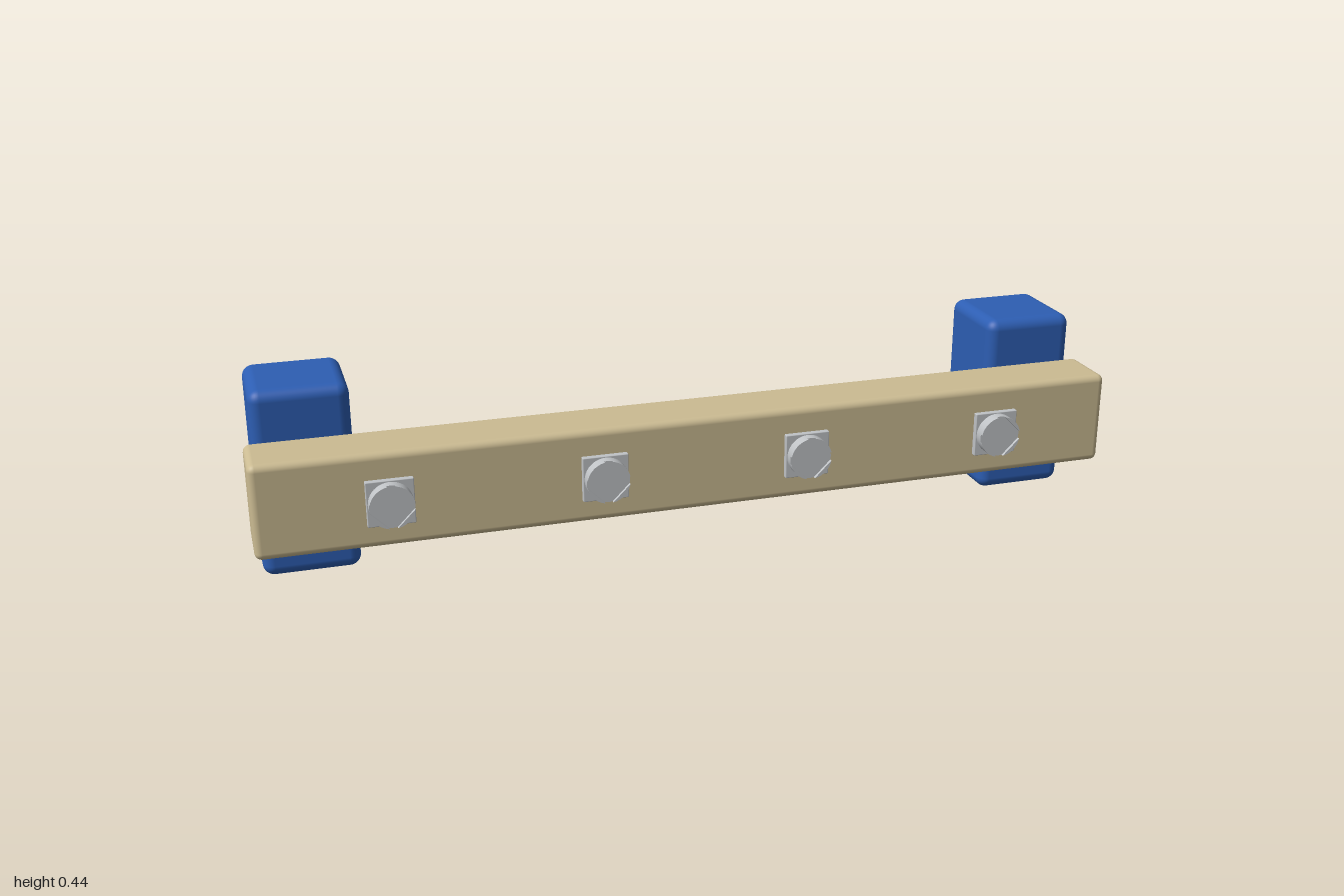
import * as THREE from 'three';
import { RoundedBoxGeometry } from 'three/addons/geometries/RoundedBoxGeometry.js';

const material = (name, color) => Object.assign(new THREE.MeshStandardMaterial({ color }), { name });

export function createModel() {
  const model = new THREE.Group();
  model.name = 'rail';
  const blue = material('blue', 0x2d5eb3);
  const tan = material('tan', 0xcbbb92);
  const steel = material('steel', 0xc0c3c6);

  const add = (parent, name, geometry, mat, x = 0, y = 0, z = 0) => {
    const mesh = new THREE.Mesh(geometry, mat);
    mesh.name = name;
    mesh.position.set(x, y, z);
    parent.add(mesh);
    return mesh;
  };

  // Long bar across the front, with a block behind each end
  const midY = 0.2185;
  add(model, 'bar', new RoundedBoxGeometry(2, 0.218, 0.146, 4, 0.016), tan, 0, midY, 0.087);
  const block = new RoundedBoxGeometry(0.217, 0.437, 0.218, 4, 0.026);
  for (const side of [1, -1]) {
    add(model, side > 0 ? 'leftBlock' : 'rightBlock', block, blue, side * 0.872, midY, -0.096);
  }

  // Screw parts, all facing +z
  const radius = 0.049, slot = 0.009;
  const disc = (r, depth) => new THREE.CylinderGeometry(r, r, depth, 40).rotateX(Math.PI / 2);
  const shank = disc(0.025, 0.02);
  const head = disc(radius, 0.021);
  const washer = new RoundedBoxGeometry(0.104, 0.104, 0.014, 2, 0.002);

  // One quarter of the head's top, leaving half a slot on its two straight sides
  const a = Math.asin(slot / radius);
  const quarter = new THREE.Shape();
  quarter.moveTo(slot, slot);
  quarter.absarc(0, 0, radius, a, Math.PI / 2 - a, false);
  quarter.closePath();
  const quarterTop = new THREE.ExtrudeGeometry(quarter, { depth: 0.007, bevelEnabled: false, curveSegments: 12 });

  for (const x of [-0.71, -0.237, 0.237, 0.71]) {
    const screw = new THREE.Group();
    screw.name = 'screw';
    screw.position.set(x, midY, 0);
    add(screw, 'shank', shank, steel, 0, 0, 0.16);
    add(screw, 'squareWasher', washer, steel, 0, 0, 0.171);
    add(screw, 'screwHead', head, steel, 0, 0, 0.1875);
    for (let i = 0; i < 4; i++) {
      add(screw, 'headQuarter', quarterTop, steel, 0, 0, 0.198).rotation.z = i * Math.PI / 2;
    }
    model.add(screw);
  }
  return model;
}
